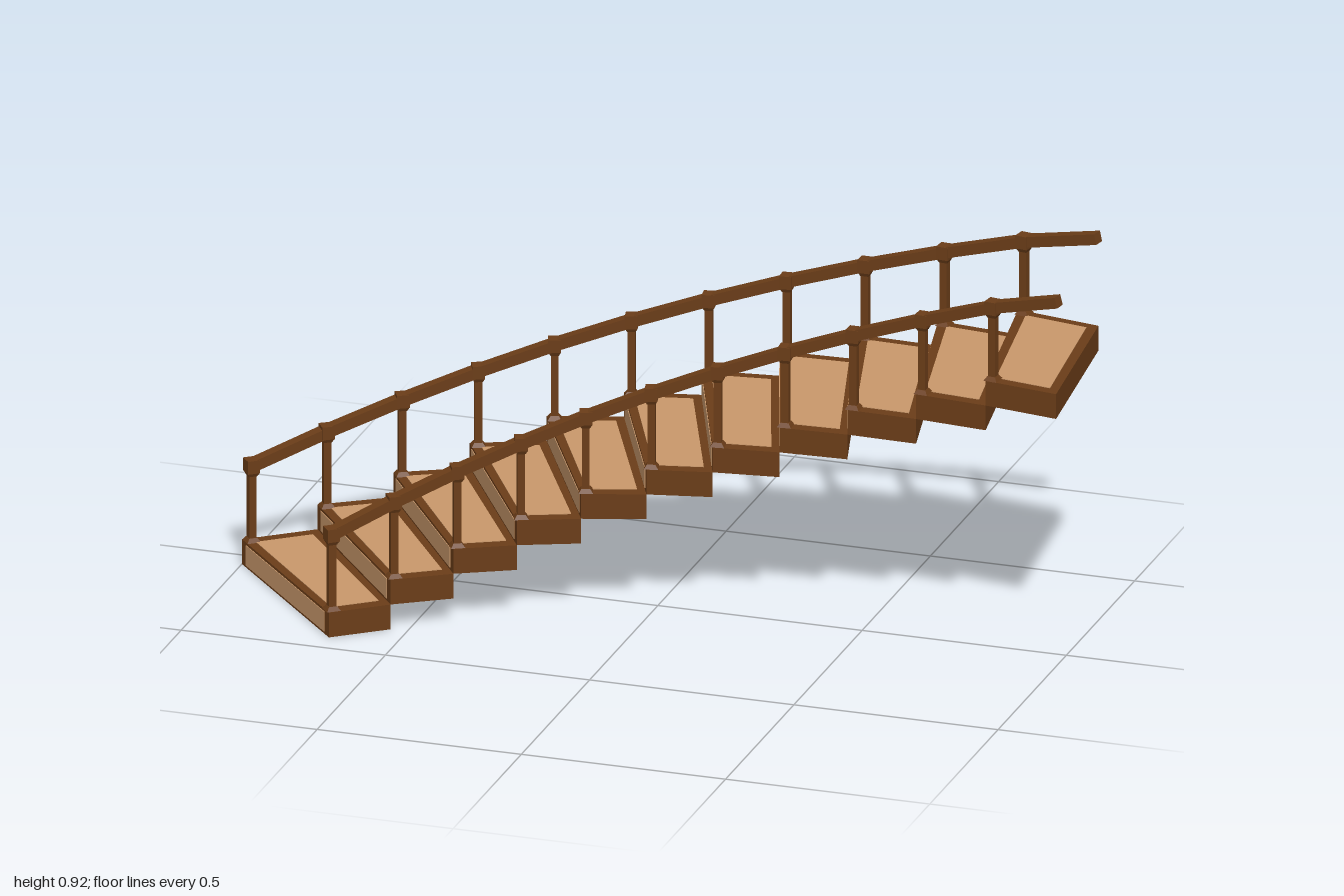
import * as THREE from 'three';

const STEPS = 11, RISE = 0.0617;
const dark = new THREE.MeshStandardMaterial({ color: 0x6b3d18, flatShading: true });
const light = new THREE.MeshStandardMaterial({ color: 0xc9986b, flatShading: true });

// Plan curves of both edges of the flight (x, z); i counts steps from 0 to 11
const quad = (a, b, c, t) => a + b * t + c * t * t;
const inner = t => [quad(-0.66, 1.28, 0.38, t), quad(0.435, -1.112, 0.752, t)];
const outer = t => [quad(-1, 1.57, 0.385, t), quad(0.055, -1.36, 0.935, t)];

// Plan point at step position i, s = 0 on the inner edge and 1 on the outer edge
function plan(i, s) {
  const p = inner(i / STEPS), q = outer(i / STEPS);
  return [p[0] + (q[0] - p[0]) * s, p[1] + (q[1] - p[1]) * s];
}

function add(parent, name, geometry, material) {
  const mesh = new THREE.Mesh(geometry, material);
  mesh.name = name;
  parent.add(mesh);
  return mesh;
}

// Upright prism over the four-sided plan area i0..i1, s0..s1
function slab(i0, i1, s0, s1, y0, y1) {
  const corners = [plan(i0, s0), plan(i1, s0), plan(i1, s1), plan(i0, s1)];
  const shape = new THREE.Shape(corners.map(([x, z]) => new THREE.Vector2(x, -z)));
  const g = new THREE.ExtrudeGeometry(shape, { depth: y1 - y0, bevelEnabled: false });
  return g.rotateX(-Math.PI / 2).translate(0, y0, 0);
}

// Four-sided frustum, widths measured across the flats
function frustum(top, bottom, height) {
  return new THREE.CylinderGeometry(top / Math.SQRT2, bottom / Math.SQRT2, height, 4).rotateY(Math.PI / 4);
}

function createStep(i) {
  const step = new THREE.Group();
  step.name = 'step';
  const y = i * RISE, top = y + RISE;
  add(step, 'stepBlock', slab(i, i + 1, 0, 1, y, top), dark);
  add(step, 'treadPanel', slab(i + 0.12, i + 0.88, 0.06, 0.94, top - 0.01, top + 0.0015), light);
  add(step, 'riserPanel', slab(i - 0.01, i + 0.04, 0.05, 0.95, y + 0.006, top - 0.006), light);
  return step;
}

// Post with flared foot and collar, and a cap block on the rail
function createPost(i, s, railY) {
  const post = new THREE.Group();
  post.name = 'post';
  const [x, z] = plan(i + 0.09, s), [nx, nz] = plan(i + 0.5, s);
  const base = (i + 1) * RISE, height = railY - base;
  post.position.set(x, base, z);
  post.rotation.y = Math.atan2(nx - x, nz - z);
  add(post, 'postShaft', new THREE.BoxGeometry(0.018, height, 0.018), dark).position.y = height / 2;
  add(post, 'postFoot', frustum(0.02, 0.034, 0.01), dark).position.y = 0.005;
  add(post, 'postCollar', frustum(0.03, 0.02, 0.01), dark).position.y = height - 0.02;
  add(post, 'railCap', new THREE.BoxGeometry(0.032, 0.032, 0.03), dark).position.y = height;
  return post;
}

function createRailing(name, s) {
  const railing = new THREE.Group();
  railing.name = name;
  const points = [];
  for (let i = 0; i < STEPS; i++) {
    const y = 0.25 + i * 0.061;
    const [x, z] = plan(i + 0.09, s);
    points.push(new THREE.Vector3(x, y, z));
    railing.add(createPost(i, s, y));
  }
  const [ex, ez] = plan(STEPS, s);
  points.push(new THREE.Vector3(ex, 0.904, ez));

  // Straight rail lengths from post to post
  for (let i = 0; i < STEPS; i++) {
    const a = points[i], b = points[i + 1];
    const rail = add(railing, 'handrail', new THREE.BoxGeometry(0.028, 0.026, a.distanceTo(b) + 0.006), dark);
    rail.position.copy(a).lerp(b, 0.5);
    rail.lookAt(b);
  }
  return railing;
}

export function createModel() {
  const model = new THREE.Group();
  model.name = 'curvedStaircase';
  for (let i = 0; i < STEPS; i++) model.add(createStep(i));
  model.add(createRailing('innerRailing', 0.035));
  model.add(createRailing('outerRailing', 0.965));
  return model;
}
